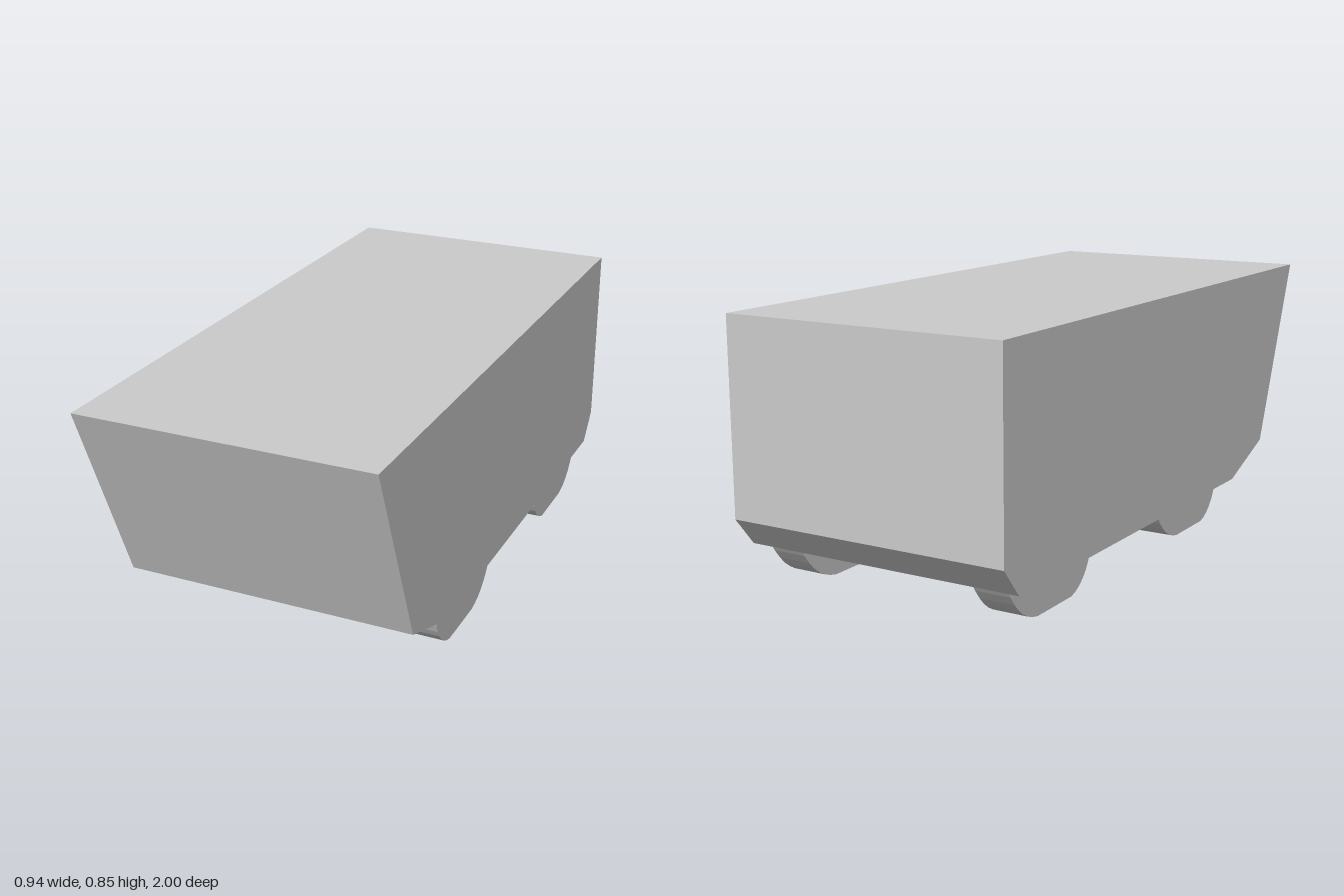
import * as THREE from 'three';

const material = new THREE.MeshStandardMaterial({ color: 0xcccccc, flatShading: true });

// Extrude a side profile drawn in (z, y) across the width, centred on x
function sideExtrude(name, shape, width, x) {
  const geometry = new THREE.ExtrudeGeometry(shape, { depth: width, bevelEnabled: false, curveSegments: 7 });
  geometry.translate(0, 0, -width / 2);
  geometry.rotateY(-Math.PI / 2);
  geometry.translate(x, 0, 0);
  const mesh = new THREE.Mesh(geometry, material);
  mesh.name = name;
  return mesh;
}

// Half-sunk wheel with a flat underside and rounded ends
function wheelShape(z) {
  const s = new THREE.Shape();
  s.moveTo(z + 0.515, 0.137);
  s.bezierCurveTo(z + 0.505, 0.07, z + 0.455, 0.012, z + 0.395, 0.001);
  s.lineTo(z + 0.2, 0.001);
  s.bezierCurveTo(z + 0.13, 0.012, z + 0.085, 0.045, z + 0.03, 0.137);
  s.closePath();
  return s;
}

export function createModel() {
  const model = new THREE.Group();
  model.name = 'cart';

  // Hull: raked nose, chamfered underside, upright tail
  const hull = new THREE.Shape([
    [1, 0.847], [0.757, 0.229], [0.51, 0.136],
    [-0.925, 0.136], [-1, 0.229], [-1, 0.847],
  ].map(([z, y]) => new THREE.Vector2(z, y)));
  model.add(sideExtrude('body', hull, 0.942, 0));

  // Four wheels, set slightly towards the left side
  for (const [end, z] of [['front', 0], ['rear', -0.916]]) {
    for (const [side, x] of [['Left', 0.386], ['Right', -0.346]]) {
      model.add(sideExtrude(`${end}${side}Wheel`, wheelShape(z), 0.117, x));
    }
  }
  return model;
}
